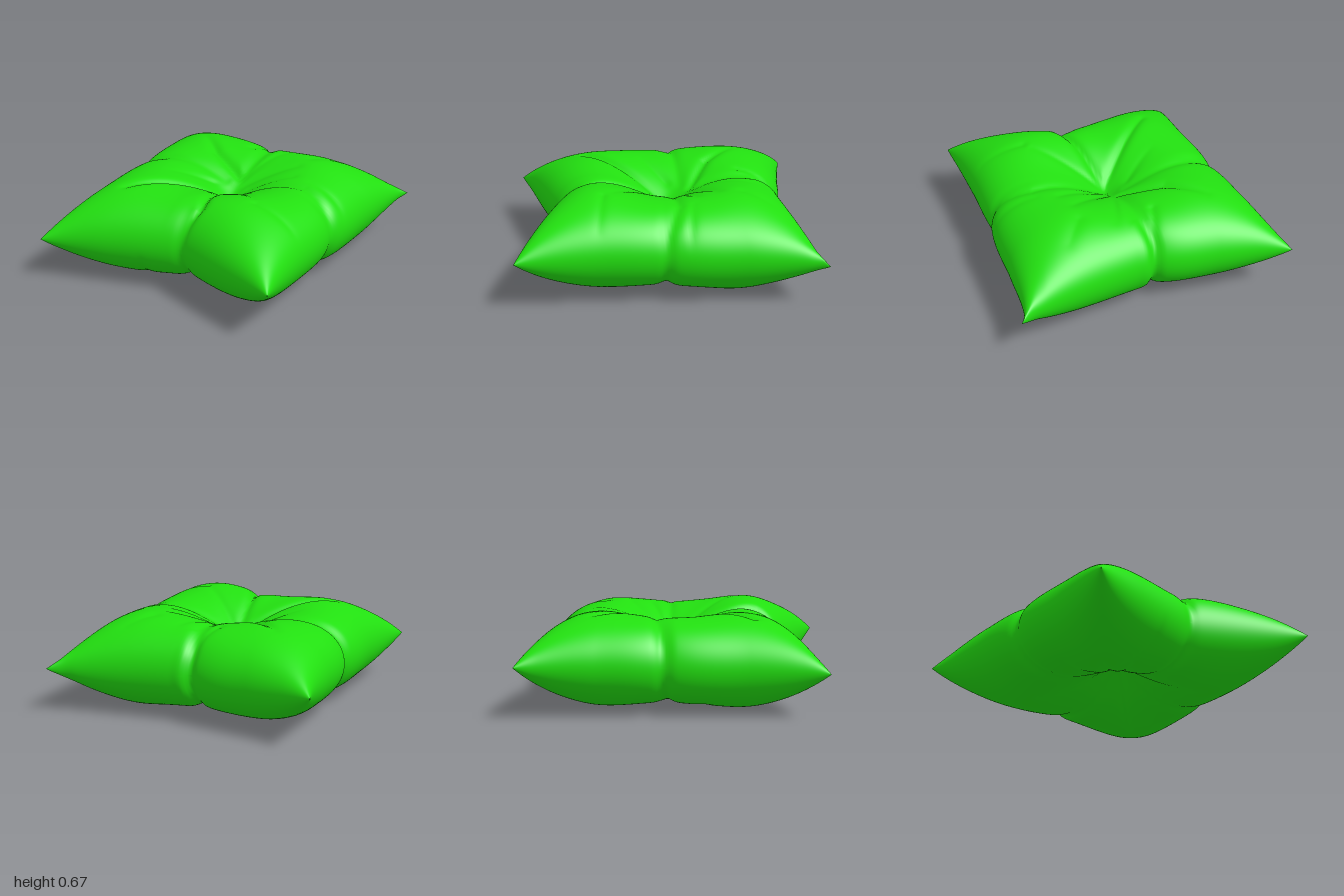
import * as THREE from 'three';
import { mergeVertices } from 'three/addons/utils/BufferGeometryUtils.js';

const N = 160; // grid cells per side of each cloth panel

// Smooth curve through [position, offset] pairs
function edge(points) {
  const curve = new THREE.CubicInterpolant(points.map((p) => p[0]), points.map((p) => p[1]), 1);
  return (t) => curve.evaluate(t)[0];
}

// Seam outline: back and front give z along x, left and right give x along z
const back = edge([[-1, -1], [-0.75, -0.95], [-0.5, -0.91], [-0.1, -0.835], [-0.04, -0.8], [0.02, -0.838], [0.1, -0.845], [0.5, -0.89], [0.8, -0.935], [0.9, -0.955], [1, -1]]);
const front = edge([[-1, 0.99], [-0.85, 0.94], [-0.5, 0.855], [0, 0.735], [0.08, 0.71], [0.15, 0.735], [0.5, 0.85], [0.85, 0.955], [1, 1]]);
const left = edge([[-1, 0.935], [-0.95, 0.905], [-0.88, 0.888], [-0.5, 0.86], [-0.04, 0.835], [0.03, 0.81], [0.09, 0.82], [0.5, 0.825], [0.8, 0.84], [1, 0.86]]);
const right = edge([[-1, -0.94], [-0.85, -0.905], [-0.5, -0.87], [-0.13, -0.838], [-0.06, -0.81], [0.02, -0.835], [0.5, -0.835], [0.8, -0.855], [1, -0.88]]);

// Creases: x0, z0, x1, z1, depth, width, fade along the length
const TOP_FOLDS = [
  [0.07, 0.76, 0.12, 0.56, 0.17, 0.03, 0], [0.12, 0.56, 0.07, 0.36, 0.17, 0.03, 0.3], [0.07, 0.36, 0, 0, 0.12, 0.03, 0],
  [-0.04, -0.85, 0, -0.6, 0.15, 0.04, 0.4], [0, -0.6, 0, -0.1, 0.09, 0.05, 0],
  [-0.85, -0.06, -0.55, -0.12, 0.13, 0.04, 0.4], [-0.55, -0.12, -0.1, -0.14, 0.08, 0.04, 0.4],
  [0.85, 0.03, 0.55, -0.07, 0.13, 0.04, 0.4], [0.55, -0.07, 0, -0.05, 0.08, 0.04, 0],
  [0, 0, -0.5, 0.52, 0.17, 0.035, 0.6], [-0.02, -0.2, -0.3, -0.34, 0.14, 0.035, 0.1], [-0.3, -0.34, -0.52, -0.55, 0.126, 0.035, 0.8],
  [0.02, 0, 0.4, 0.36, 0.08, 0.03, 0.8], [0.03, -0.15, 0.35, -0.35, 0.1, 0.04, 0.7], [0, -0.2, 0.15, -0.6, 0.07, 0.04, 0.8],
  [0.1, -0.1, 0.4, -0.2, 0.07, 0.03, 0.6], [-0.15, -0.05, -0.4, 0.12, 0.06, 0.03, 0.8], [-0.12, -0.55, -0.05, -0.78, 0.05, 0.03, 0],
  [0.38, -0.52, 0.5, -0.68, 0.04, 0.05, 0.5], [0.45, 0.42, 0.75, 0.46, 0.04, 0.03, 0.5], [0.85, -0.12, 0.55, -0.16, 0.06, 0.03, 0.7],
];
const BOTTOM_FOLDS = [
  [0.07, 0.75, 0.03, 0.35, 0.14, 0.04, 0.6], [0.03, 0.35, 0, 0, 0.056, 0.04, 0],
  [-0.04, -0.85, 0, -0.4, 0.14, 0.04, 0.6], [0, -0.4, 0, 0, 0.056, 0.04, 0],
  [-0.85, -0.06, -0.4, -0.03, 0.13, 0.045, 0.6], [-0.4, -0.03, 0, 0, 0.052, 0.045, 0],
  [0.85, 0.03, 0.4, 0, 0.13, 0.045, 0.6], [0.4, 0, 0, 0, 0.052, 0.045, 0],
  [0, 0, 0.42, 0.42, 0.1, 0.035, 0.7], [0, 0, -0.45, 0.4, 0.1, 0.035, 0.7],
  [0, 0, 0.4, -0.42, 0.1, 0.035, 0.7], [0, 0, -0.42, -0.35, 0.1, 0.035, 0.7],
  [-0.08, 0.05, -0.25, 0.5, 0.07, 0.03, 0.6], [-0.1, 0.06, -0.6, 0.2, 0.07, 0.03, 0.6], [-0.22, 0.78, -0.3, 0.45, 0.06, 0.03, 0.6],
];

// Each panel: direction, creases, depth of the tuft, raised areas as x, z, relative height
const PANELS = [
  { side: 1, folds: TOP_FOLDS, tuft: 0.74, puffs: [[0.42, 0.48, 0.07], [0.2, 0.54, 0.07], [0.45, -0.5, 0.07], [-0.45, -0.5, 0.03], [-0.48, 0.45, 0.04]] },
  { side: -1, folds: BOTTOM_FOLDS, tuft: 0.82, puffs: [[0.52, -0.45, 0.12], [0.1, -0.3, 0.04], [-0.2, 0.45, 0.04], [-0.5, 0.45, 0.05], [0.45, 0.45, 0.07], [-0.48, -0.48, 0.06]] },
];

const mix = (a, b, t) => a + (b - a) * t;

function foldDepth(x, z, [x0, z0, x1, z1, depth, width, fade]) {
  const dx = x1 - x0, dz = z1 - z0;
  const t = THREE.MathUtils.clamp(((x - x0) * dx + (z - z0) * dz) / (dx * dx + dz * dz), 0, 1);
  const d = Math.hypot(x - x0 - dx * t, z - z0 - dz * t) / width;
  return depth * (1 - fade * t) * Math.exp(-Math.pow(d, 1.5));
}

// Half thickness: pinched corners, rounded sides, tufted centre, radiating creases
function loft(u, v, x, z, { folds, tuft, puffs }) {
  const base = 0.345 * Math.sqrt((1 - Math.abs(u) ** 3.7) * (1 - Math.abs(v) ** 3.7));
  let scale = 1 - tuft * Math.exp(-Math.pow(Math.hypot(x, z + 0.03) / 0.32, 1.25));
  for (const [px, pz, h] of puffs) scale += h * Math.exp(-((x - px) ** 2 + (z - pz) ** 2) / 0.06);
  const crease = Math.max(...folds.map((f) => foldDepth(x, z, f)));
  return base * scale * (1 - crease);
}

function cushionGeometry() {
  const positions = [], index = [];
  const ease = (i) => Math.sin((i / N - 0.5) * Math.PI);
  for (const panel of PANELS) {
    const start = positions.length / 3;
    for (let j = 0; j <= N; j++) {
      for (let i = 0; i <= N; i++) {
        const u = ease(i), v = ease(j), s = (u + 1) / 2, t = (v + 1) / 2;
        const x = mix(right(v), left(v), s);
        const z = mix(back(u), front(u), t);
        const seam = mix(mix(0.35, 0.31, s), mix(0.31, 0.365, s), t);
        positions.push(x, seam + panel.side * loft(u, v, x, z, panel), z);
        if (i < N && j < N) {
          const a = start + j * (N + 1) + i, b = a + N + 1;
          if (panel.side > 0) index.push(a, b, a + 1, b, b + 1, a + 1);
          else index.push(a, a + 1, b, b, a + 1, b + 1);
        }
      }
    }
  }
  const g = new THREE.BufferGeometry();
  g.setAttribute('position', new THREE.Float32BufferAttribute(positions, 3));
  g.setIndex(index);
  // Weld the two panels along the seam so the sides shade smoothly
  const welded = mergeVertices(g, 1e-5);
  welded.computeBoundingBox();
  welded.translate(0, -welded.boundingBox.min.y, 0);
  welded.computeVertexNormals();
  return welded;
}

export function createModel() {
  const group = new THREE.Group();
  group.name = 'tuftedCushion';
  const cloth = new THREE.MeshStandardMaterial({ color: 0x22e010 });
  const cushion = new THREE.Mesh(cushionGeometry(), cloth);
  cushion.name = 'cushion';
  group.add(cushion);
  return group;
}
